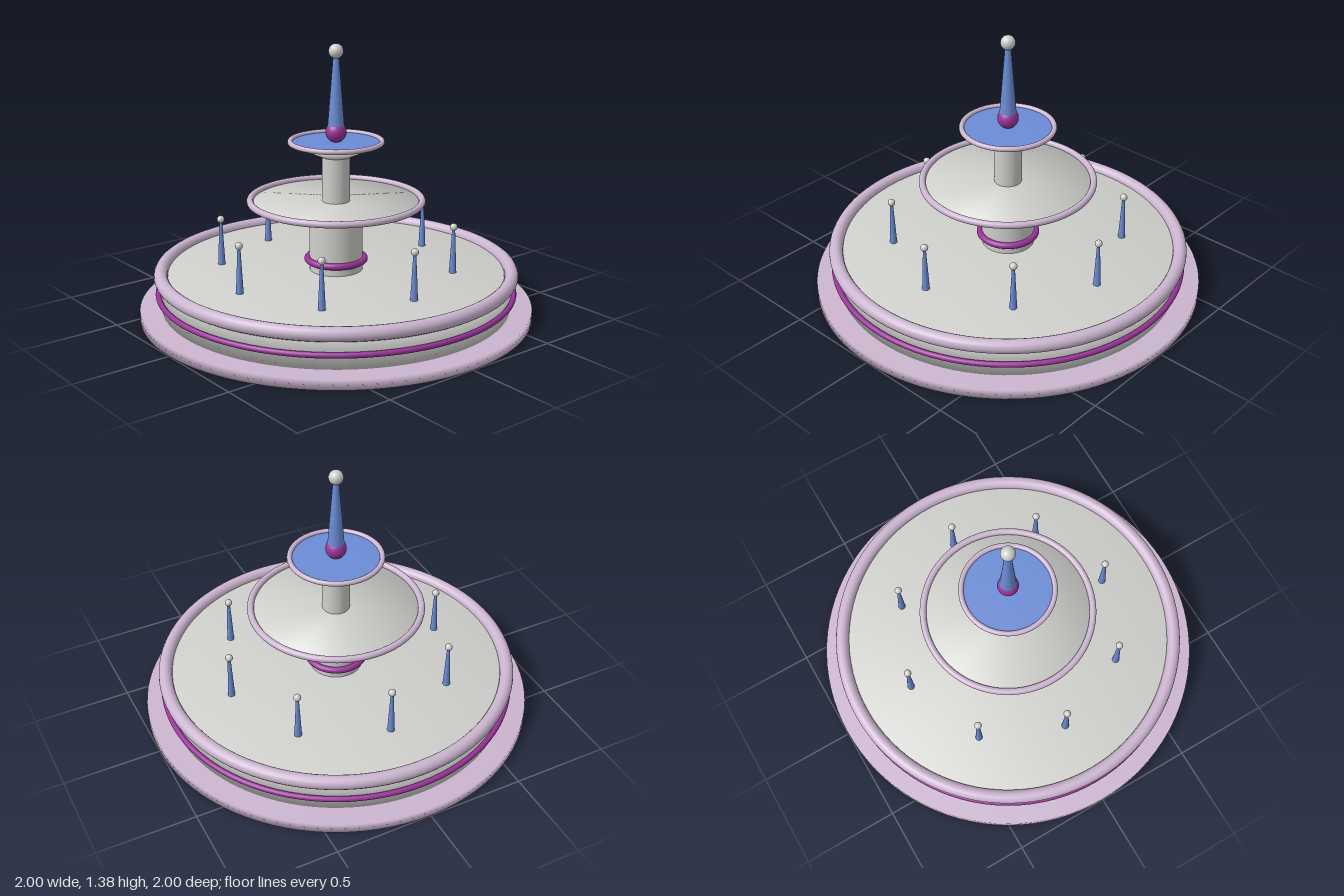
import * as THREE from 'three';

const mat = (name, color) => {
  const m = new THREE.MeshStandardMaterial({ color });
  m.name = name;
  return m;
};

export function createModel() {
  const root = new THREE.Group();
  root.name = 'fountain';
  const stone = mat('pale stone', 0xcfcfcc);
  const trim = mat('lilac trim', 0xcbb5cf);
  const accent = mat('purple accent', 0x993399);
  const water = mat('blue water', 0x6b8cd6);

  const add = (parent, name, geometry, material, y = 0) => {
    const mesh = new THREE.Mesh(geometry, material);
    mesh.name = name;
    mesh.position.y = y;
    parent.add(mesh);
    return mesh;
  };
  // Solid of revolution, profile listed from bottom to top
  const lathe = (name, points, material) =>
    add(root, name, new THREE.LatheGeometry(points.map(([r, y]) => new THREE.Vector2(r, y)), 96), material);
  // Horizontal ring
  const ring = (name, radius, tube, y, material) =>
    add(root, name, new THREE.TorusGeometry(radius, tube, 16, 96).rotateX(Math.PI / 2), material, y);
  const column = (name, r, y0, y1) =>
    add(root, name, new THREE.CylinderGeometry(r, r, y1 - y0, 48), stone, (y0 + y1) / 2);
  // Tapering water jet with a bead on its tip
  const jet = (name, rBottom, rTop, y0, y1, beadRadius, beadY) => {
    const group = new THREE.Group();
    group.name = name;
    add(group, 'spray', new THREE.CylinderGeometry(rTop, rBottom, y1 - y0, 24), water, (y0 + y1) / 2);
    add(group, 'bead', new THREE.SphereGeometry(beadRadius, 24, 16), stone, beadY);
    root.add(group);
    return group;
  };

  // Base step and main basin
  lathe('baseStep', [[0, 0], [1, 0], [1, 0.05], [0, 0.05]], trim);
  lathe('basin', [[0, 0.04], [0.89, 0.04], [0.89, 0.22], [0, 0.22]], stone);
  ring('basinBand', 0.905, 0.014, 0.125, accent);
  ring('basinRim', 0.89, 0.035, 0.22, trim);

  // Lower column and bowl
  column('lowerColumn', 0.135, 0.21, 0.49);
  ring('columnCollar', 0.145, 0.017, 0.275, accent);
  lathe('lowerBowl', [[0, 0.48], [0.135, 0.48], [0.435, 0.58], [0, 0.58]], stone);
  ring('lowerBowlRim', 0.434, 0.017, 0.585, trim);

  // Upper column and bowl
  column('upperColumn', 0.07, 0.57, 0.82);
  lathe('upperBowl', [[0, 0.81], [0.075, 0.81], [0.23, 0.88], [0, 0.88]], stone);
  lathe('upperWater', [[0.225, 0.878], [0.225, 0.884], [0, 0.884]], water);
  ring('upperBowlRim', 0.23, 0.013, 0.886, trim);

  // Central finial
  add(root, 'finialBall', new THREE.SphereGeometry(0.053, 32, 24), accent, 0.935);
  jet('centralJet', 0.042, 0.014, 0.965, 1.32, 0.037, 1.34);

  // Ring of eight small jets
  for (let i = 0; i < 8; i++) {
    const a = (i * Math.PI) / 4;
    const g = jet('basinJet' + (i + 1), 0.019, 0.007, 0.215, 0.455, 0.019, 0.46);
    g.position.set(Math.cos(a) * 0.595, 0, Math.sin(a) * 0.595);
  }
  return root;
}
